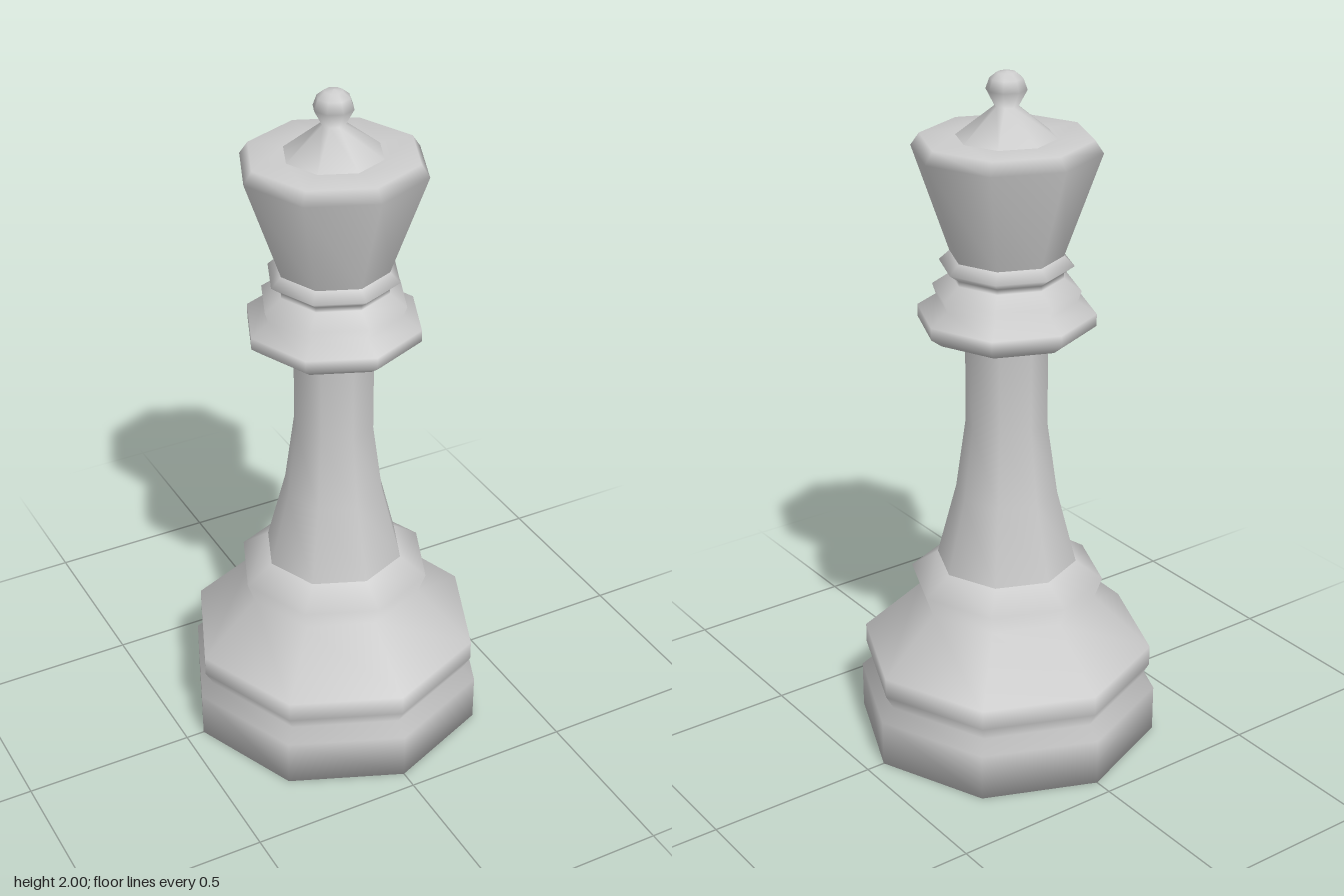
import * as THREE from 'three';

const SIDES = 8;

// Profiles as [radius, height], running upwards; each part starts where the last one ends
const PROFILES = {
  base: [
    [0, 0], [0.445, 0], [0.445, 0.14], [0.405, 0.175], [0.43, 0.22], [0.43, 0.28],
    [0.262, 0.435], [0.284, 0.497], [0.205, 0.55],
  ],
  stem: [[0.205, 0.55], [0.148, 0.77], [0.118, 0.985], [0.118, 1.225], [0.13, 1.25]],
  collar: [
    [0.13, 1.25], [0.22, 1.265], [0.253, 1.29], [0.253, 1.325], [0.2, 1.36], [0.21, 1.39],
    [0.16, 1.425], [0.16, 1.44], [0.19, 1.462], [0.16, 1.49],
  ],
  crown: [[0.16, 1.49], [0.264, 1.785], [0.24, 1.82], [0.14, 1.82]],
  finial: [
    [0.14, 1.82], [0.033, 1.905], [0.057, 1.95], [0.046, 1.98], [0.026, 1.996], [0, 2],
  ],
};

export function createModel() {
  const group = new THREE.Group();
  group.name = 'chessQueen';
  const material = new THREE.MeshStandardMaterial({ color: 0xcccccc });

  // Eight-sided turned parts, smooth shaded
  for (const [name, profile] of Object.entries(PROFILES)) {
    const points = profile.map(([r, y]) => new THREE.Vector2(r, y));
    const mesh = new THREE.Mesh(new THREE.LatheGeometry(points, SIDES), material);
    mesh.name = name;
    group.add(mesh);
  }
  return group;
}
